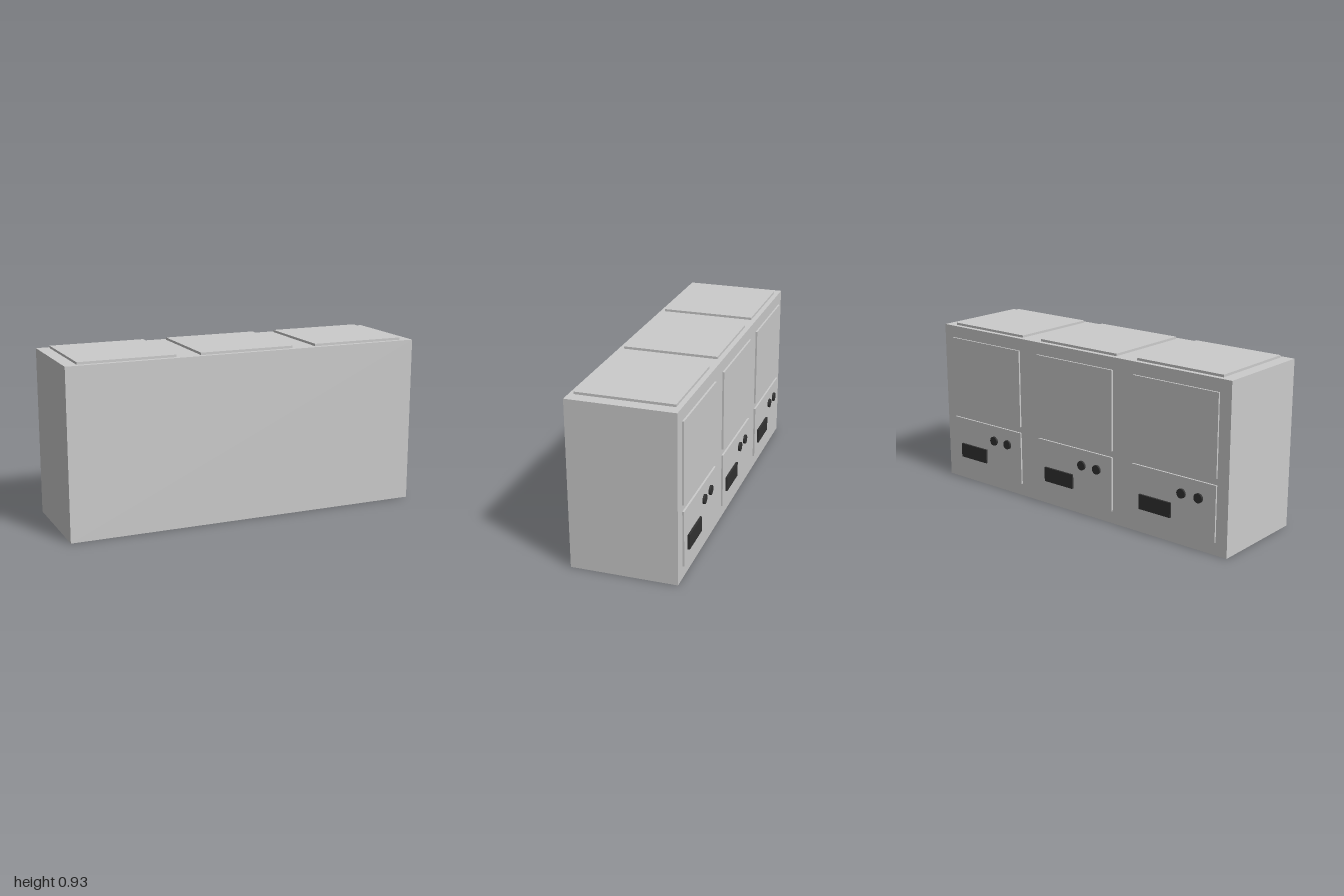
import * as THREE from 'three';

const grey = new THREE.MeshStandardMaterial({ color: 0xcccccc });
const dark = new THREE.MeshStandardMaterial({ color: 0x333333 });

// Box given by its minimum and maximum corners
function box(name, [x0, y0, z0], [x1, y1, z1], material = grey) {
  const mesh = new THREE.Mesh(new THREE.BoxGeometry(x1 - x0, y1 - y0, z1 - z0), material);
  mesh.position.set((x0 + x1) / 2, (y0 + y1) / 2, (z0 + z1) / 2);
  mesh.name = name;
  return mesh;
}

// Round button facing -z
function knob(x, y) {
  const mesh = new THREE.Mesh(new THREE.CylinderGeometry(0.026, 0.026, 0.011, 16), dark);
  mesh.rotation.x = -Math.PI / 2;
  mesh.position.set(x, y, -0.2905);
  mesh.name = 'knob';
  return mesh;
}

// One bay: lid on top, door and control panel on the back
function createBay(x) {
  const bay = new THREE.Group();
  bay.name = 'bay';
  bay.position.x = x;
  const w = 0.265;
  bay.add(
    box('lid', [-w, 0.92, -0.247], [w, 0.933, 0.27]),
    box('door', [-w, 0.41, -0.285], [w, 0.852, -0.275]),
    box('controlPanel', [-w, 0.07, -0.285], [w, 0.375, -0.275]),
    box('slot', [0.007, 0.138, -0.296], [0.21, 0.22, -0.285], dark),
    knob(-0.057, 0.287),
    knob(-0.163, 0.287)
  );
  return bay;
}

export function createModel() {
  const model = new THREE.Group();
  model.name = 'cabinet';
  model.add(box('body', [-1, 0, -0.275], [1, 0.92, 0.296]));
  for (const x of [-0.667, 0, 0.667]) model.add(createBay(x));
  return model;
}
